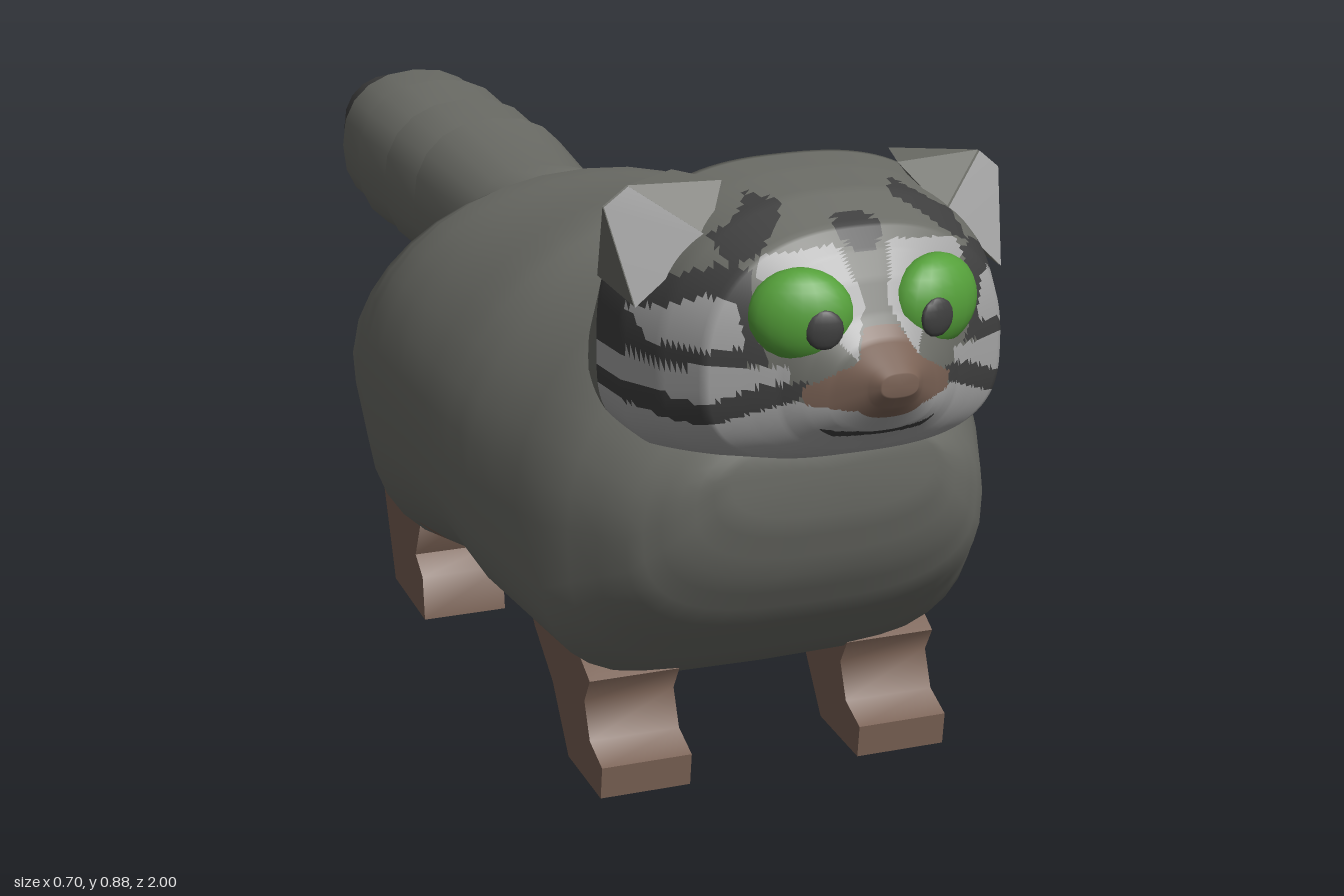
import * as THREE from 'three';
import { ConvexGeometry } from 'three/addons/geometries/ConvexGeometry.js';
import { toCreasedNormals } from 'three/addons/utils/BufferGeometryUtils.js';

const mat = (name, color, side = THREE.FrontSide) => {
  const m = new THREE.MeshStandardMaterial({ color, side });
  m.name = name;
  return m;
};
const V = (x, y, z) => new THREE.Vector3(x, y, z);

// Sorts triangles into material groups by their centre and normal
function paint(geo, pick) {
  const p = geo.attributes.position;
  const idx = geo.index ? Array.from(geo.index.array) : Array.from({ length: p.count }, (_, i) => i);
  const buckets = [[], [], [], []];
  const t = new THREE.Triangle(), c = V(), n = V();
  for (let i = 0; i < idx.length; i += 3) {
    t.setFromAttributeAndIndices(p, idx[i], idx[i + 1], idx[i + 2]);
    t.getMidpoint(c);
    t.getNormal(n);
    buckets[pick(c, n)].push(idx[i], idx[i + 1], idx[i + 2]);
  }
  geo.setIndex(buckets.flat());
  geo.clearGroups();
  let start = 0;
  buckets.forEach((b, k) => {
    if (b.length) geo.addGroup(start, b.length, k);
    start += b.length;
  });
  return geo;
}

// Skin over sections, front to back: [z, bottom, top, half width, height of widest point,
// upper roundness, lower roundness, shear, notch]
function loft(sections, segs, sub) {
  const rows = [];
  for (let i = 0; i < sections.length - 1; i++)
    for (let k = 0; k < sub; k++)
      rows.push(sections[i].map((v, q) => v + (sections[i + 1][q] - v) * k / sub));
  rows.push(sections[sections.length - 1]);
  const pos = [], idx = [];
  for (const [z, yb, yt, w, yc, nUp, nLow, shear = 0, notch = 0] of rows)
    for (let j = 0; j < segs; j++) {
      const a = (j / segs) * Math.PI * 2, c = Math.cos(a), s = Math.sin(a);
      const n = s > 0 ? nUp : nLow;
      const x = w * Math.sign(c) * Math.abs(c) ** (2 / n);
      const h = Math.abs(s) ** (2 / n);
      let y = s > 0 ? yc + (yt - yc) * h : yc - (yc - yb) * h;
      if (s < -0.5) y += notch * Math.max(0, 1 - Math.abs(x) / 0.13);
      pos.push(x, y, z + shear * Math.max(0, y - 0.4));
    }
  for (let i = 0; i < rows.length - 1; i++)
    for (let j = 0; j < segs; j++) {
      const a = i * segs + j, b = i * segs + (j + 1) % segs;
      idx.push(a, a + segs, b, b, a + segs, b + segs);
    }
  // End caps
  const last = (rows.length - 1) * segs, centre = pos.length / 3;
  for (const r of [rows[0], rows[rows.length - 1]])
    pos.push(0, r[4], r[0] + (r[7] || 0) * Math.max(0, r[4] - 0.4));
  for (let j = 0; j < segs; j++) {
    const k = (j + 1) % segs;
    idx.push(centre, j, k, centre + 1, last + k, last + j);
  }
  const g = new THREE.BufferGeometry();
  g.setAttribute('position', new THREE.Float32BufferAttribute(pos, 3));
  g.setIndex(idx);
  g.computeVertexNormals();
  return g;
}

function inside(poly, x, y) {
  let hit = false;
  for (let i = 0, j = poly.length - 1; i < poly.length; j = i++) {
    const [ax, ay] = poly[i], [bx, by] = poly[j];
    if (ay > y !== by > y && x < (bx - ax) * (y - ay) / (by - ay) + ax) hit = !hit;
  }
  return hit;
}

const FUR = 0, PALE = 1, DARK = 2, BROWN = 3;
// Half-face markings as seen from the front; the first match wins
const markings = [
  [BROWN, [[-0.01, 0.735], [0.022, 0.735], [0.04, 0.70], [0.1, 0.662], [0.095, 0.642], [-0.01, 0.638]]],
  [DARK, [[-0.01, 0.599], [0.06, 0.599], [0.08, 0.612], [0.06, 0.608], [-0.01, 0.606]]],
  [DARK, [[0.09, 0.672], [0.14, 0.662], [0.2, 0.632], [0.27, 0.635], [0.27, 0.60], [0.2, 0.602], [0.1, 0.648]]],
  [PALE, [[0.155, 0.71], [0.235, 0.695], [0.245, 0.722], [0.19, 0.765], [0.165, 0.765]]],
  [DARK, [[0.14, 0.80], [0.17, 0.80], [0.27, 0.74], [0.27, 0.66], [0.2, 0.68], [0.13, 0.69], [0.15, 0.74]]],
  [PALE, [[0.11, 0.688], [0.2, 0.682], [0.27, 0.662], [0.27, 0.63], [0.2, 0.63], [0.11, 0.66]]],
  [DARK, [[0.07, 0.862], [0.1, 0.862], [0.165, 0.825], [0.16, 0.80], [0.13, 0.815]]],
  [PALE, [[0.015, 0.76], [0.035, 0.825], [0.13, 0.815], [0.14, 0.79], [0.1, 0.78], [0.04, 0.70]]],
  [DARK, [[-0.01, 0.815], [0.015, 0.815], [0.032, 0.84], [0.02, 0.852], [-0.01, 0.852]]],
];

export function createModel() {
  const root = new THREE.Group();
  root.name = 'cat';
  const fur = mat('grey fur', 0x6b6c66), pale = mat('pale fur', 0xa4a4a4, THREE.DoubleSide);
  const dark = mat('dark fur', 0x3f3f3f), brown = mat('brown fur', 0x796154);
  const green = mat('green eye', 0x55a03a);
  const furs = [fur, pale, dark, brown];
  const add = (name, geo, material) => {
    const m = new THREE.Mesh(geo, material);
    m.name = name;
    root.add(m);
    return m;
  };

  // Body with brown rump patches and underside bands between the legs
  const body = loft([
    [0.82, 0.45, 0.55, 0.14, 0.51, 2.4, 2.8, 0, 0],
    [0.79, 0.36, 0.575, 0.20, 0.46, 2.2, 2.8, 0, 0],
    [0.74, 0.28, 0.61, 0.25, 0.42, 2, 3, 0, 0],
    [0.60, 0.165, 0.72, 0.315, 0.40, 2, 3.6, 0, 0],
    [0.40, 0.175, 0.71, 0.345, 0.40, 2, 3.2, 0, 0],
    [0.28, 0.195, 0.73, 0.35, 0.40, 1.9, 3, 0, 0],
    [0.10, 0.14, 0.70, 0.345, 0.40, 2, 2.8, 0, 0.03],
    [-0.10, 0.085, 0.68, 0.33, 0.38, 2.2, 2.8, 0.15, 0.08],
    [-0.235, 0.2, 0.66, 0.305, 0.38, 2.2, 2.6, 0.5, 0.05],
    [-0.25, 0.3, 0.60, 0.08, 0.42, 2.2, 2.2, 0.5, 0],
  ], 36, 3);
  add('body', paint(body, (c, n) => {
    const x = Math.abs(c.x);
    if (c.z - 0.5 * Math.max(0, c.y - 0.4) < -0.236) return x > 0.09 && c.y > 0.22 ? BROWN : FUR;
    return n.y < -0.75 && c.z < 0.6 && x > 0.1 && x < 0.26 ? BROWN : FUR;
  }), furs);

  // Ridged tail with dark bands and tip
  const tail = [[-0.08, 0.44, 0.67, 0.10], [-0.26, 0.42, 0.635, 0.115], [-0.462, 0.405, 0.66, 0.132]];
  for (const z of [-0.478, -0.618, -0.758]) {
    tail.push([z, 0.415, 0.648, 0.126]);
    tail.push(z > -0.7 ? [z - 0.124, 0.405, 0.658, 0.135] : [-0.855, 0.415, 0.65, 0.125]);
  }
  tail.push([-0.862, 0.43, 0.637, 0.116], [-0.96, 0.45, 0.62, 0.09], [-1, 0.475, 0.60, 0.07]);
  add('tail', paint(loft(tail.map((s) => [...s, (s[1] + s[2]) / 2, 2.3, 2.3]), 20, 1), (c) => {
    if (c.z < -0.856) return DARK;
    const band = [-0.47, -0.61, -0.75].some((z) => Math.abs(c.z - z) < 0.01);
    return band && Math.abs(c.x) < 0.105 ? DARK : FUR;
  }), furs);

  // Head with nose, muzzle, cheek fringe and neck
  const head = loft([
    [1.0, 0.662, 0.69, 0.024, 0.675, 2.6, 2.6],
    [0.985, 0.642, 0.70, 0.037, 0.67, 2.5, 2.5],
    [0.955, 0.605, 0.72, 0.07, 0.65, 2.3, 2.5],
    [0.935, 0.588, 0.745, 0.095, 0.65, 2.3, 2.5],
    [0.915, 0.57, 0.785, 0.12, 0.66, 2.5, 2.6],
    [0.895, 0.558, 0.815, 0.155, 0.67, 2.5, 2.8],
    [0.87, 0.548, 0.842, 0.20, 0.67, 2.4, 3],
    [0.80, 0.533, 0.868, 0.23, 0.66, 2.4, 3.6],
    [0.72, 0.515, 0.876, 0.25, 0.66, 2.4, 4],
    [0.65, 0.515, 0.878, 0.255, 0.66, 2.6, 4],
    [0.595, 0.50, 0.76, 0.245, 0.62, 2.6, 3],
    [0.50, 0.48, 0.722, 0.20, 0.60, 2.2, 2.4],
  ], 120, 8);
  add('head', paint(head, (c) => {
    if (c.z < 0.652) return FUR;
    if (c.z > 0.975) return BROWN;
    const m = markings.find(([, poly]) => inside(poly, Math.abs(c.x), c.y));
    return m ? m[0] : c.y < 0.645 ? PALE : FUR;
  }), furs);

  // Leg outlines as [z, y], extruded sideways
  const frontLeg = [[0.65, 0.025], [0.655, 0.07], [0.61, 0.09], [0.59, 0.14], [0.61, 0.175], [0.5, 0.24],
    [0.38, 0.2], [0.4, 0.175], [0.47, 0.12], [0.53, 0.035]];
  const backLeg = [[-0.08, 0], [-0.088, 0.065], [-0.12, 0.09], [-0.08, 0.18], [-0.18, 0.3], [-0.235, 0.3],
    [-0.238, 0.22], [-0.285, 0.19], [-0.22, 0.015]];
  const leg = (outline, s) => {
    const shape = new THREE.Shape(outline.map(([z, y]) => new THREE.Vector2(z, y)));
    const geo = new THREE.ExtrudeGeometry(shape, { depth: 0.127, bevelEnabled: false });
    return toCreasedNormals(geo, 1.2).rotateY(-Math.PI / 2).translate(s > 0 ? 0.249 : -0.122, 0, 0);
  };

  for (const s of [1, -1]) {
    const side = s > 0 ? 'left' : 'right';
    add(side + 'FrontLeg', leg(frontLeg, s), brown);
    add(side + 'BackLeg', leg(backLeg, s), brown);

    // Ear: shell with dark back, pale inner face and pale spot behind
    const A = V(s * 0.16, 0.82, 0.785), B = V(s * 0.25, 0.735, 0.765);
    const T1 = V(s * 0.24, 0.875, 0.715), T2 = V(s * 0.27, 0.85, 0.71);
    const shell = new ConvexGeometry([A, B, T1, T2, V(s * 0.12, 0.874, 0.73),
      V(s * 0.235, 0.845, 0.66), V(s * 0.25, 0.74, 0.64), V(s * 0.15, 0.868, 0.64)]);
    add(side + 'Ear', paint(shell, (c, n) => (n.z < -0.25 ? DARK : FUR)), furs);
    const quad = s > 0 ? [A, B, T2, T1] : [A, T1, T2, B];
    const inner = new THREE.BufferGeometry().setFromPoints(quad).translate(0, 0, 0.005);
    inner.setIndex([0, 1, 2, 0, 2, 3]);
    inner.computeVertexNormals();
    add(side + 'InnerEar', inner, pale);
    const spot = add(side + 'EarSpot', new THREE.SphereGeometry(1, 10, 6), pale);
    spot.scale.set(0.02, 0.024, 0.008);
    spot.position.set(s * 0.217, 0.82, 0.646);
    spot.rotation.y = -s * 0.3;

    // Eye and pupil
    const eye = add(side + 'Eye', new THREE.SphereGeometry(1, 20, 14), green);
    eye.scale.set(0.066, 0.06, 0.04);
    eye.position.set(s * 0.089, 0.745, 0.902);
    eye.rotation.y = s * 0.34;
    const pupil = add(side + 'Pupil', new THREE.SphereGeometry(1, 14, 8), dark);
    pupil.scale.set(0.024, 0.025, 0.008);
    pupil.position.set(s * 0.075, 0.737, 0.943);
    pupil.rotation.y = s * 0.2;
  }
  return root;
}
